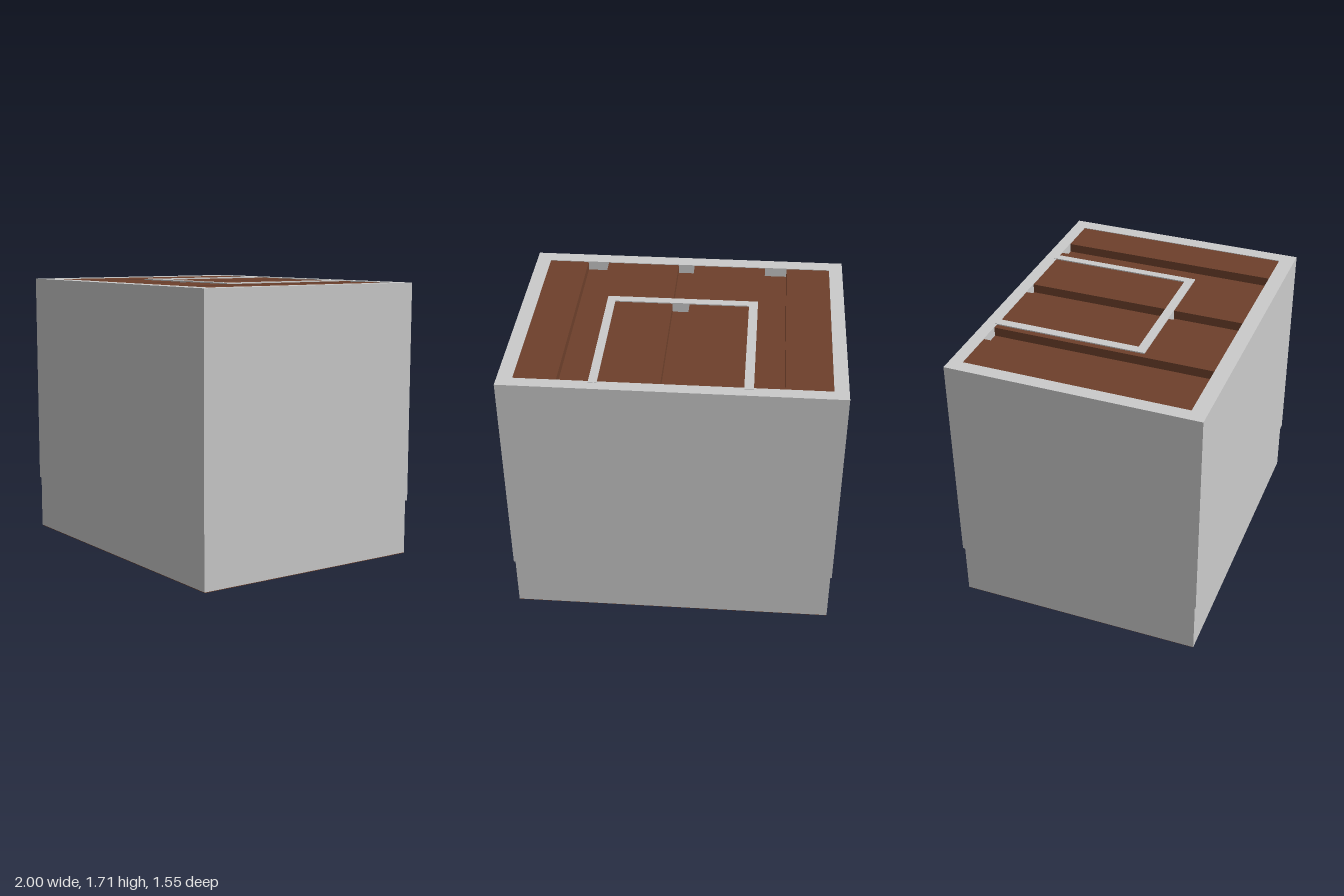
import * as THREE from 'three';

const grey = new THREE.MeshStandardMaterial({ color: 0xcccccc });
const brown = new THREE.MeshStandardMaterial({ color: 0x6e402b });

// Inner opening of the walls
const IN = { x0: -0.915, x1: 0.91, z0: -0.695, z1: 0.68 };
const TOP = 1.71;

export function createModel() {
  const model = new THREE.Group();
  model.name = 'planterBox';

  // Box given by its limits on each axis
  function block(name, material, x0, x1, y0, y1, z0, z1) {
    const mesh = new THREE.Mesh(new THREE.BoxGeometry(x1 - x0, y1 - y0, z1 - z0), material);
    mesh.position.set((x0 + x1) / 2, (y0 + y1) / 2, (z0 + z1) / 2);
    mesh.name = name;
    model.add(mesh);
    return mesh;
  }

  // Rectangular wall ring, open above and below
  function wallRing(name, x, z0, z1, y0, y1) {
    const rect = (path, a, b, c, d) =>
      path.moveTo(a, -c).lineTo(b, -c).lineTo(b, -d).lineTo(a, -d).closePath();
    const shape = new THREE.Shape();
    rect(shape, -x, x, z1, z0);
    const hole = new THREE.Path();
    rect(hole, IN.x0, IN.x1, IN.z1, IN.z0);
    shape.holes.push(hole);
    const geometry = new THREE.ExtrudeGeometry(shape, { depth: y1 - y0, bevelEnabled: false });
    geometry.rotateX(-Math.PI / 2);
    const mesh = new THREE.Mesh(geometry, grey);
    mesh.position.y = y0;
    mesh.name = name;
    model.add(mesh);
  }

  // Outer walls: tall body over a slightly recessed plinth
  wallRing('bodyWalls', 1, -0.772, 0.774, 0.35, TOP);
  wallRing('plinthWalls', 0.992, -0.762, 0.766, 0.014, 0.35);

  // Brown base
  block('base', brown, -0.99, 0.99, 0.01, 0.013, -0.76, 0.764);

  // Brown fill with three sunken channels running front to back
  const channels = [[-0.64, -0.5], [-0.04, 0.065], [0.525, 0.66]];
  const fillTop = TOP - 0.004;
  const channelFloor = TOP - 0.06;
  block('fillCore', brown, IN.x0, IN.x1, 0.013, channelFloor, IN.z0, IN.z1);
  let left = IN.x0;
  for (const [a, b] of [...channels, [IN.x1, IN.x1]]) {
    block('fillPanel', brown, left, a, channelFloor, fillTop, IN.z0, IN.z1);
    left = b;
  }

  // U-shaped divider set into the fill
  const dividerTop = TOP + 0.003;
  block('dividerLeft', grey, 0.425, 0.475, channelFloor, dividerTop, -0.71, 0.19);
  block('dividerRight', grey, -0.465, -0.41, channelFloor, dividerTop, -0.71, 0.19);
  block('dividerFront', grey, -0.465, 0.475, channelFloor, dividerTop, 0.19, 0.245);

  // Thin strips under the base, each with a pad at both ends
  for (const x of [-0.44, 0.465]) {
    block('footStrip', brown, x - 0.012, x + 0.012, 0, 0.01, -0.43, -0.11);
    for (const z of [-0.46, -0.08])
      block('footPad', brown, x - 0.035, x + 0.035, 0.004, 0.01, z - 0.03, z + 0.03);
  }
  block('footStrip', brown, -0.13, 0.2, 0, 0.01, 0.225, 0.245);
  for (const x of [-0.15, 0.22])
    block('footPad', brown, x - 0.03, x + 0.03, 0.004, 0.01, 0.2, 0.265);

  return model;
}
